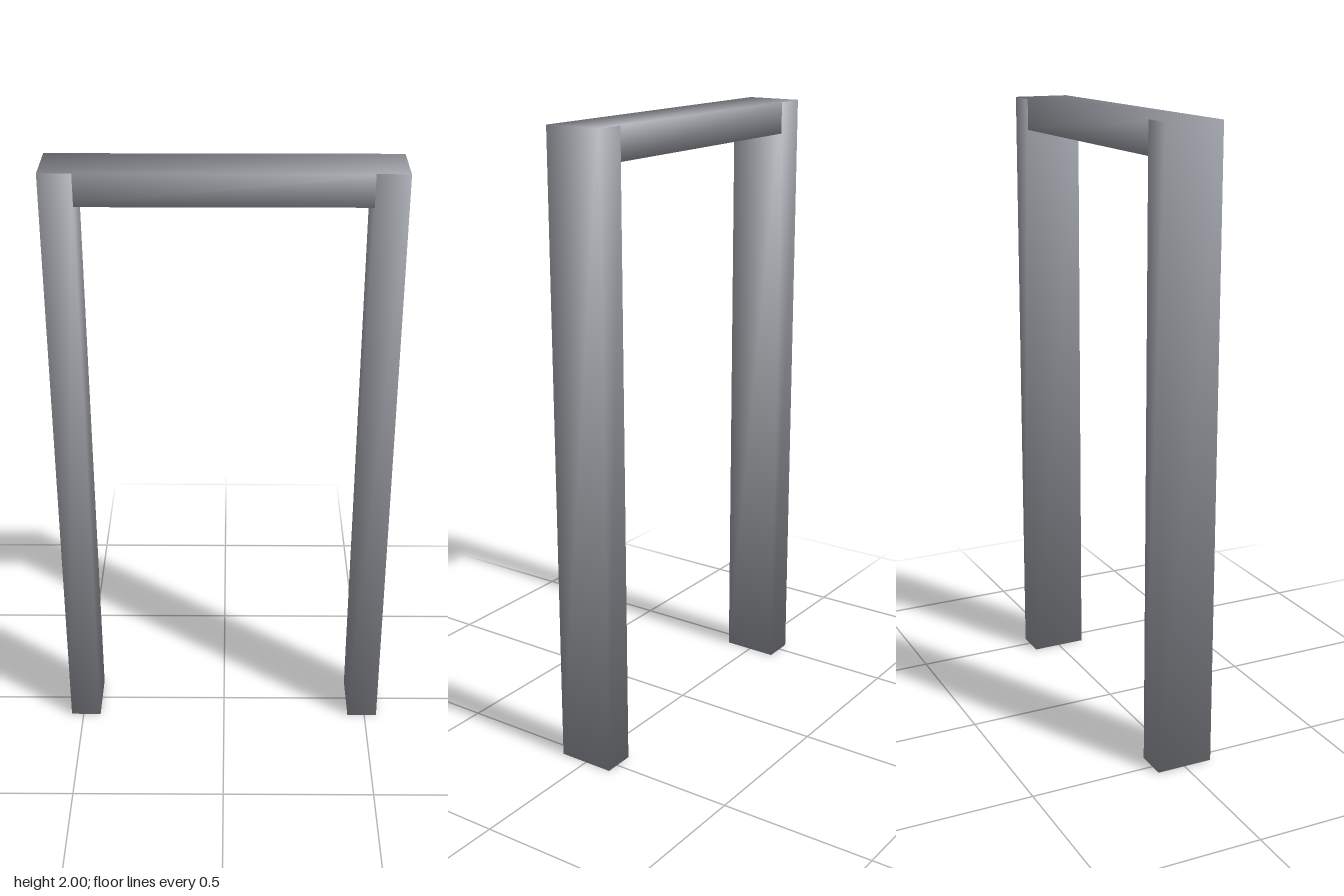
import * as THREE from 'three';
import { mergeVertices } from 'three/addons/utils/BufferGeometryUtils.js';

// Box whose eight corners share diagonal normals, giving soft shading across the faces
function softBox(width, height, depth) {
  const box = new THREE.BoxGeometry(width, height, depth);
  box.deleteAttribute('normal');
  box.deleteAttribute('uv');
  const geometry = mergeVertices(box);
  const diagonals = Array.from(geometry.attributes.position.array, (v) => Math.sign(v) / Math.sqrt(3));
  geometry.setAttribute('normal', new THREE.Float32BufferAttribute(diagonals, 3));
  return geometry;
}

export function createModel() {
  const WIDTH = 1.084, HEIGHT = 2, DEPTH = 0.185, THICK = 0.102;
  const GAP = 0.0005; // tiny inset so the overlapping corner faces do not flicker
  const material = new THREE.MeshStandardMaterial({ color: 0x979aa1 });
  const frame = new THREE.Group();
  frame.name = 'doorFrame';

  // Upright posts
  const postHeight = HEIGHT - GAP;
  const postGeometry = softBox(THICK, postHeight, DEPTH);
  for (const [name, side] of [['leftPost', 1], ['rightPost', -1]]) {
    const post = new THREE.Mesh(postGeometry, material);
    post.name = name;
    post.position.set(side * (WIDTH - THICK) / 2, postHeight / 2, 0);
    frame.add(post);
  }

  // Lintel running the full width across the post tops
  const lintel = new THREE.Mesh(softBox(WIDTH - 2 * GAP, THICK, DEPTH - 2 * GAP), material);
  lintel.name = 'lintel';
  lintel.position.y = HEIGHT - THICK / 2;
  frame.add(lintel);

  return frame;
}
